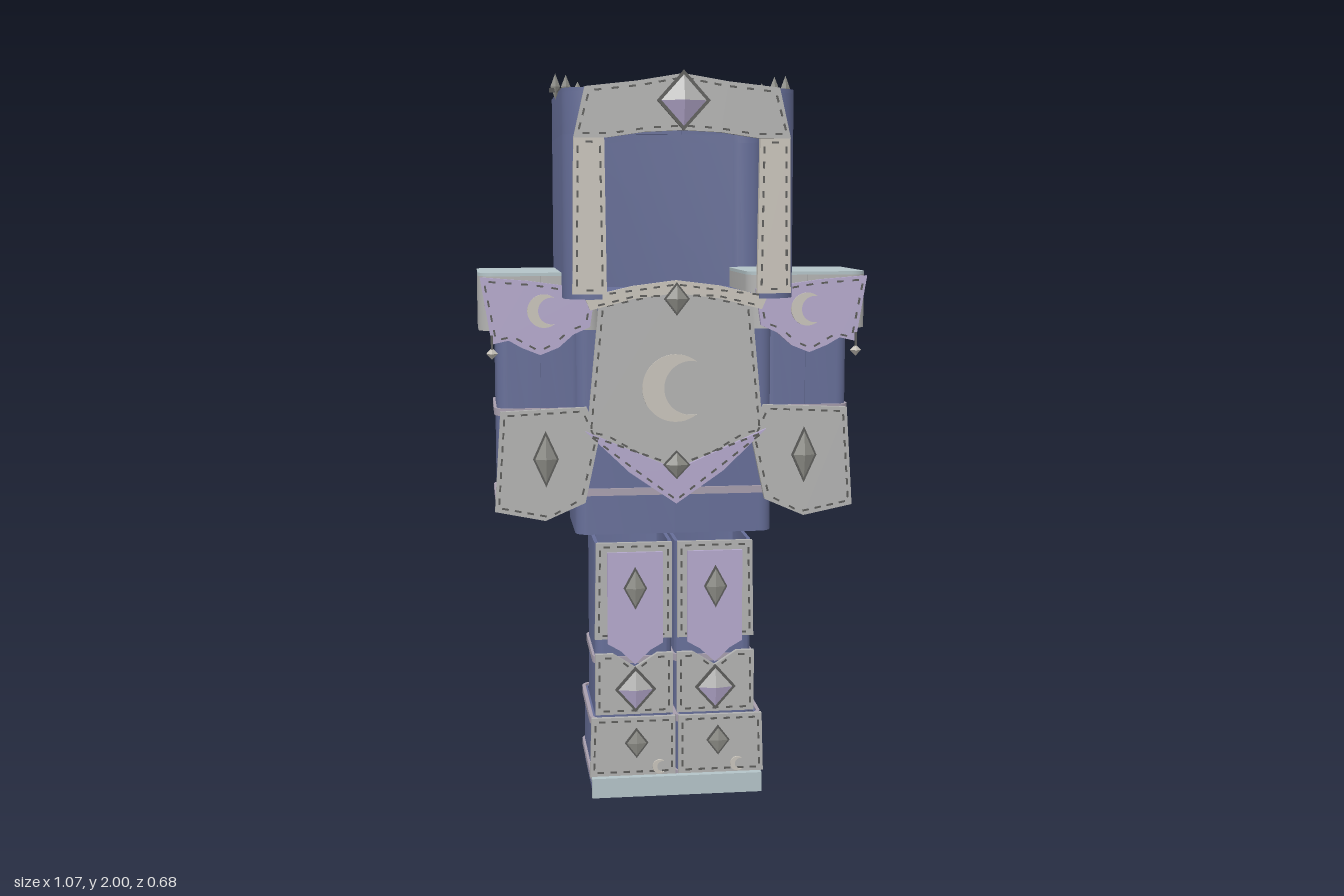
import * as THREE from 'three';
import { mergeGeometries, toCreasedNormals } from 'three/addons/utils/BufferGeometryUtils.js';

const mat = (name, color) => {
  const m = new THREE.MeshStandardMaterial({ color });
  m.name = name;
  return m;
};

export function createModel() {
  const root = new THREE.Group();
  root.name = 'armourSet';
  const blue = mat('slate blue cloth', 0x666e98);
  const lavender = mat('lavender cloth', 0xb5a9cd);
  const grey = mat('grey plate', 0xb3b3b2);
  const pale = mat('pale blue plate', 0xb4c4c8);
  const bone = mat('bone', 0xc9c4bb);
  const trim = mat('trim', 0xa89fae);
  const gemGrey = mat('gem grey', 0x8c8c86);
  const dark = mat('dark stitch', 0x5c5c5a);

  const add = (name, geo, material, x = 0, y = 0, z = 0) => {
    const m = new THREE.Mesh(geo, material);
    m.name = name;
    m.position.set(x, y, z);
    root.add(m);
    return m;
  };

  // Rounded rectangle seen from above, starting and ending at a front gap
  const outline = (x0, x1, z0, z1, r, gap) => {
    const c = (x0 + x1) / 2, p = [new THREE.Vector2(c + gap, -z1)];
    [[x1 - r, -z1 + r, -0.5], [x1 - r, -z0 - r, 0], [x0 + r, -z0 - r, 0.5], [x0 + r, -z1 + r, 1]].forEach(([cx, cy, a]) => {
      for (let i = 0; i <= 6; i++) {
        const t = (a + i / 12) * Math.PI;
        p.push(new THREE.Vector2(cx + r * Math.cos(t), cy + r * Math.sin(t)));
      }
    });
    p.push(new THREE.Vector2(c - gap, -z1));
    return p;
  };
  const rise = (name, pts, y0, y1, material) => {
    const g = new THREE.ExtrudeGeometry(new THREE.Shape(pts), { depth: y1 - y0, bevelEnabled: false });
    g.rotateX(-Math.PI / 2);
    return add(name, toCreasedNormals(g, 0.6), material, 0, y0, 0);
  };
  // Hollow wall and solid slab with rounded upright edges
  const shell = (name, [x0, x1, z0, z1], r, y0, y1, material, gap = 0.0005, t = 0.01) =>
    rise(name, [...outline(x0, x1, z0, z1, r, gap),
      ...outline(x0 + t, x1 - t, z0 + t, z1 - t, r - t, gap).reverse()], y0, y1, material);
  const slab = (name, [x0, x1, z0, z1], r, y0, y1, material) =>
    rise(name, outline(x0, x1, z0, z1, r, 0.0005), y0, y1, material);
  const band = (name, [x0, x1, z0, z1], r, y) =>
    shell(name, [x0 - 0.007, x1 + 0.007, z0 - 0.007, z1 + 0.007], r, y - 0.01, y + 0.01, trim);

  // Flat plate facing forward, with a row of stitches just inside its edge
  const plate = (name, pts, z, depth, material, stitched = true) => {
    const v = pts.map(p => new THREE.Vector2(...p));
    add(name, new THREE.ExtrudeGeometry(new THREE.Shape(v), { depth, bevelEnabled: false }), material, 0, 0, z);
    if (!stitched) return;
    const c = v.reduce((s, p) => s.add(p), new THREE.Vector2()).divideScalar(v.length);
    const q = v.map(p => {
      const d = c.clone().sub(p);
      return p.clone().add(new THREE.Vector2(Math.sign(d.x) * Math.min(0.011, Math.abs(d.x)), Math.sign(d.y) * Math.min(0.011, Math.abs(d.y))));
    });
    const dashes = [];
    q.forEach((a, i) => {
      const b = q[(i + 1) % q.length], len = a.distanceTo(b), n = Math.floor(len / 0.035);
      for (let k = 0; k < n; k++) {
        const p = a.clone().lerp(b, (k + 0.5) / n);
        const g = new THREE.BoxGeometry(0.018, 0.005, 0.006);
        g.rotateZ(Math.atan2(b.y - a.y, b.x - a.x));
        g.translate(p.x, p.y, z + depth);
        dashes.push(g);
      }
    });
    if (dashes.length) add(name + 'Stitches', mergeGeometries(dashes), dark);
  };
  const pair = (name, pts, ...rest) => [1, -1].forEach(s =>
    plate((s > 0 ? 'left' : 'right') + name, pts.map(([x, y]) => [x * s, y]), ...rest));

  // Faceted diamond gem on a dark rim
  const gem = (name, x, y, z, w, h, d = 0.025) => {
    const rim = [[w / 2, 0], [0, h / 2], [-w / 2, 0], [0, -h / 2]].map(p => [p[0] + x, p[1] + y]);
    plate(name + 'Rim', rim, z, 0.008, dark, false);
    const g = new THREE.ConeGeometry(1, 1, 4, 1, true).toNonIndexed();
    g.rotateX(Math.PI / 2);
    g.translate(0, 0, 0.5);
    g.scale(w * 0.42, h * 0.42, d - 0.008);
    g.computeVertexNormals();
    g.clearGroups();
    const big = w > 0.1;
    g.addGroup(0, 3, big ? 1 : 0);
    g.addGroup(3, 6, 0);
    g.addGroup(9, 3, big ? 1 : 0);
    add(name, g, [big ? grey : gemGrey, lavender], x, y, z + 0.008);
  };
  const moon = (name, x, y, z, r) => {
    const a = 0.9, dx = Math.cos(a) - 0.45, dy = Math.sin(a), b = Math.atan2(dy, dx);
    const s = new THREE.Shape();
    s.absarc(0, 0, r, a, Math.PI * 2 - a, false);
    s.absarc(0.45 * r, 0, Math.hypot(dx, dy) * r, Math.PI * 2 - b, b, true);
    add(name, new THREE.ExtrudeGeometry(s, { depth: 0.006, bevelEnabled: false, curveSegments: 16 }), bone, x, y, z);
  };

  // Helmet: open face and open underside
  const head = [-0.31, 0.31, -0.34, 0.275];
  shell('helmetWall', head, 0.075, 1.40, 1.83, blue, 0.21);
  shell('helmetBrow', head, 0.075, 1.83, 1.94, blue);
  slab('helmetTop', head, 0.075, 1.94, 1.95, blue);
  plate('browPlate', [[-0.255, 1.95], [-0.12, 1.965], [0, 1.985], [0.12, 1.965], [0.255, 1.95], [0.285, 1.82],
    [0.2, 1.82], [0.1, 1.835], [0, 1.84], [-0.1, 1.835], [-0.2, 1.82], [-0.285, 1.82]], 0.282, 0.02, grey);
  pair('CheekPlate', [[0.205, 1.82], [0.285, 1.82], [0.29, 1.415], [0.2, 1.415]], 0.278, 0.018, bone);
  gem('browGem', 0, 1.915, 0.312, 0.14, 0.155, 0.03);
  for (const s of [1, -1]) {
    // Small spiked ornament on the helmet edge
    const bar = add('crestBar', new THREE.BoxGeometry(0.1, 0.012, 0.008), dark, s * 0.285, 1.955, 0.045);
    bar.rotation.y = -s * 0.3;
    [[0.255, 1.955, 0.05], [0.288, 1.965, 0.065], [0.317, 1.965, 0.07]].forEach(([x, y, h], i) => {
      const spike = add('crestSpike', new THREE.OctahedronGeometry(1), gemGrey, s * x, y, 0.035 + i * 0.01);
      spike.scale.set(0.013, h / 2, 0.009);
    });
  }

  // Torso
  const torso = [-0.275, 0.275, -0.185, 0.13];
  shell('torsoWall', torso, 0.035, 0.74, 1.40, blue);
  slab('torsoTop', torso, 0.035, 1.40, 1.41, blue);
  band('waistBand', torso, 0.04, 0.86);
  plate('chestPlate', [[-0.21, 1.385], [0, 1.425], [0.21, 1.385], [0.245, 1.02], [0.2, 1.01], [0, 0.9], [-0.2, 1.01], [-0.245, 1.02]], 0.142, 0.014, grey);
  plate('collar', [[-0.25, 1.40], [-0.12, 1.43], [0, 1.445], [0.12, 1.43], [0.25, 1.40], [0.235, 1.365],
    [0.12, 1.395], [0, 1.41], [-0.12, 1.395], [-0.235, 1.365]], 0.16, 0.014, bone);
  plate('bellyChevron', [[-0.25, 1.035], [0, 0.925], [0.25, 1.035], [0.13, 0.92], [0, 0.83], [-0.13, 0.92]], 0.158, 0.012, lavender);
  gem('collarGem', 0, 1.395, 0.175, 0.07, 0.09, 0.02);
  gem('bellyGem', 0, 0.94, 0.172, 0.075, 0.08, 0.02);
  moon('chestMoon', 0, 1.15, 0.158, 0.093);

  // Arms and shoulders
  for (const s of [1, -1]) {
    const side = s > 0 ? 'left' : 'right';
    const span = (a, b, z0, z1) => s > 0 ? [a, b, z0, z1] : [-b, -a, z0, z1];
    const arm = span(0.25, 0.488, -0.17, 0.115);
    shell(side + 'Sleeve', arm, 0.03, 0.825, 1.40, blue);
    band(side + 'ElbowBand', arm, 0.035, 1.085);
    band(side + 'CuffBand', arm, 0.035, 0.835);
    const pad = span(0.2, 0.535, -0.21, 0.145);
    shell(side + 'ShoulderWall', pad, 0.045, 1.31, 1.457, grey);
    slab(side + 'ShoulderTop', pad, 0.045, 1.457, 1.466, pale);
    gem(side + 'ArmGem', s * 0.358, 0.96, 0.16, 0.07, 0.155, 0.022);
    moon(side + 'ShoulderMoon', s * 0.36, 1.365, 0.178, 0.045);
    // Hanging charm
    add(side + 'CharmCord', new THREE.BoxGeometry(0.006, 0.05, 0.006), dark, s * 0.5, 1.275, 0.165);
    add(side + 'Charm', new THREE.OctahedronGeometry(0.016), bone, s * 0.5, 1.25, 0.165);

    // Legs and boots
    const leg = span(0.004, 0.222, -0.165, 0.11);
    shell(side + 'Leg', leg, 0.025, 0.08, 0.71, blue);
    band(side + 'KneeBand', leg, 0.03, 0.375);
    const boot = span(0.002, 0.235, -0.18, 0.17);
    shell(side + 'Boot', boot, 0.03, 0, 0.22, blue);
    band(side + 'BootTopBand', boot, 0.035, 0.215);
    band(side + 'BootSoleBand', boot, 0.035, 0.052);
    gem(side + 'ThighGem', s * 0.113, 0.59, 0.15, 0.065, 0.12, 0.016);
    gem(side + 'KneeGem', s * 0.113, 0.3, 0.15, 0.115, 0.13, 0.022);
    gem(side + 'BootGem', s * 0.115, 0.158, 0.192, 0.065, 0.085, 0.014);
    moon(side + 'BootMoon', s > 0 ? 0.17 : -0.05, 0.087, 0.193, 0.02);
  }
  pair('ShoulderCloth', [[0.53, 1.455], [0.4, 1.445], [0.22, 1.42], [0.235, 1.32], [0.28, 1.30], [0.32, 1.265], [0.37, 1.245],
    [0.42, 1.265], [0.455, 1.285], [0.5, 1.275]], 0.15, 0.014, lavender);
  pair('ForearmPlate', [[0.245, 1.10], [0.48, 1.09], [0.498, 0.815], [0.36, 0.787], [0.25, 0.835], [0.21, 1.02]], 0.14, 0.016, grey);
  pair('ThighPlate', [[0.008, 0.715], [0.22, 0.715], [0.225, 0.44], [0.008, 0.44]], 0.12, 0.012, grey);
  pair('ThighCloth', [[0.035, 0.69], [0.19, 0.69], [0.19, 0.43], [0.155, 0.41], [0.113, 0.37], [0.07, 0.41], [0.035, 0.43]], 0.136, 0.01, lavender, false);
  pair('KneePlate', [[0.006, 0.40], [0.05, 0.40], [0.113, 0.36], [0.175, 0.40], [0.225, 0.40], [0.225, 0.225], [0.006, 0.225]], 0.13, 0.014, grey);
  pair('BootPlate', [[0.004, 0.23], [0.24, 0.23], [0.245, 0.062], [0.004, 0.062]], 0.178, 0.012, grey);
  pair('ToeCap', [[0, 0.002], [0, 0.058], [0.24, 0.058], [0.24, 0.002]], 0.178, 0.02, pale, false);

  return root;
}
